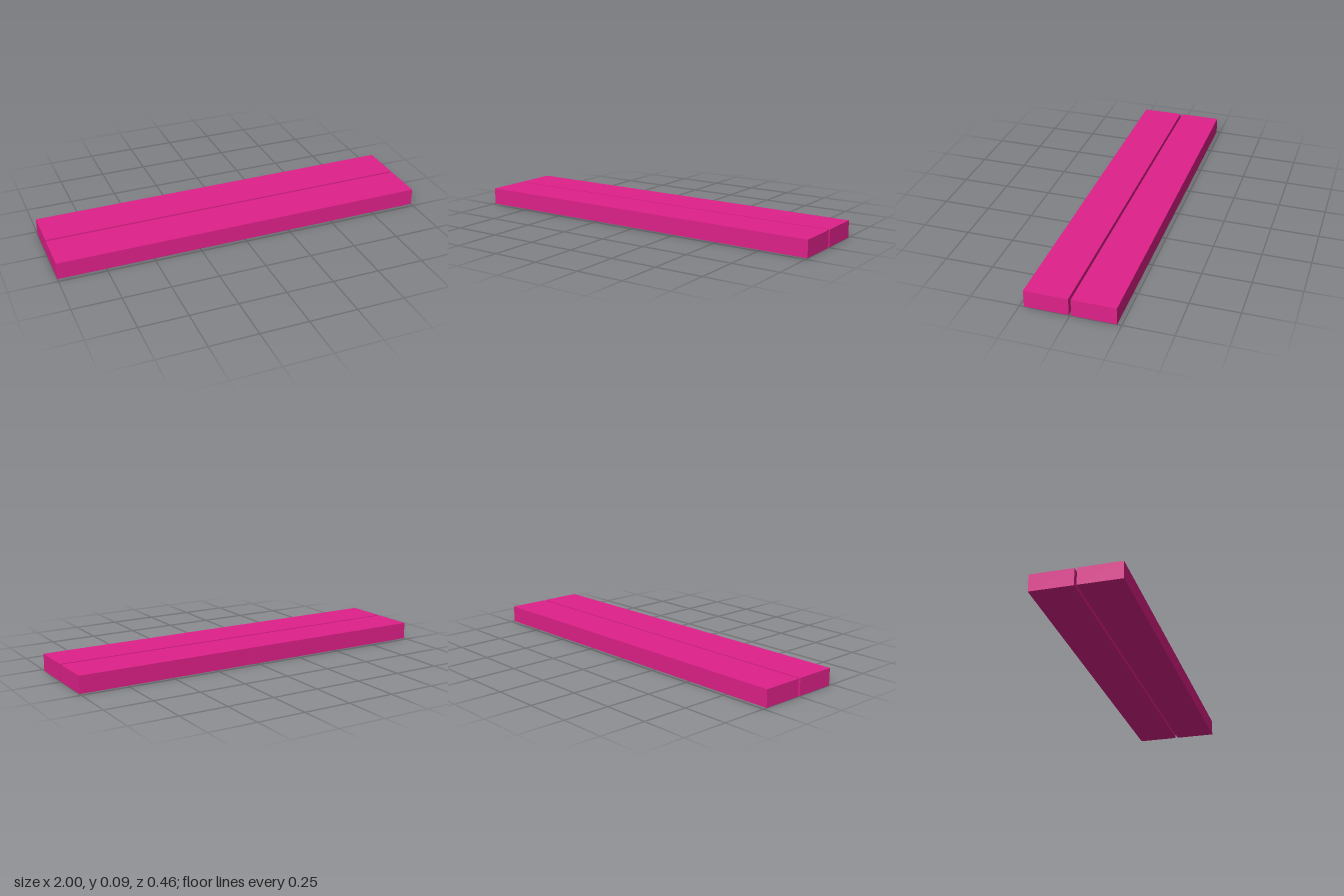
import * as THREE from 'three';

export function createModel() {
  const group = new THREE.Group();
  group.name = 'pairOfPlanks';
  const material = new THREE.MeshStandardMaterial({ color: 0xe0218a });

  const length = 2, height = 0.09, outer = 0.228, inner = 0.006;
  const depth = outer - inner;
  const geometry = new THREE.BoxGeometry(length, height, depth);

  // Two identical planks, mirrored across a narrow gap
  for (const [name, side] of [['frontPlank', 1], ['backPlank', -1]]) {
    const plank = new THREE.Mesh(geometry, material);
    plank.name = name;
    plank.position.set(0, height / 2, side * (inner + depth / 2));
    group.add(plank);
  }
  return group;
}
